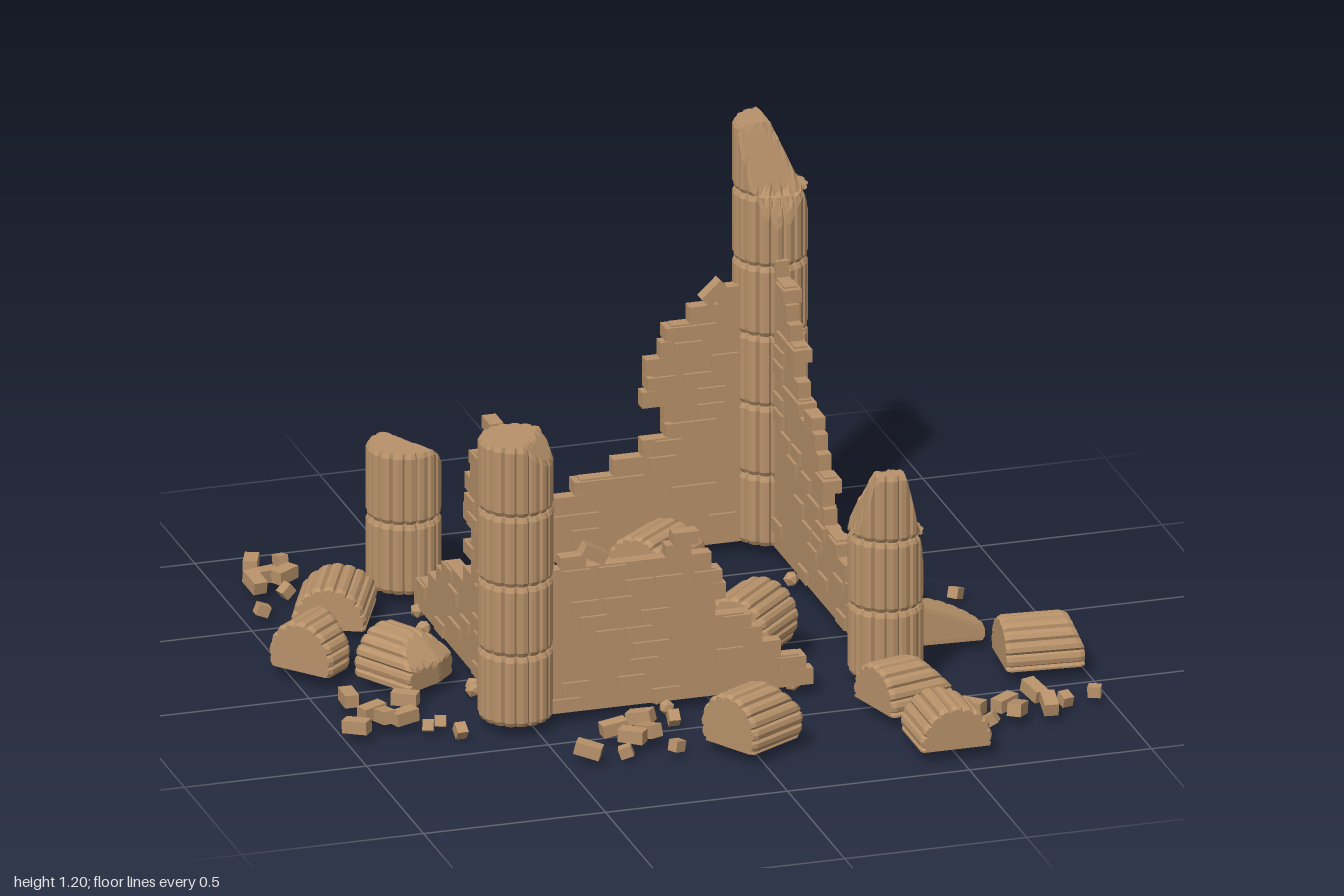
import * as THREE from 'three';

const stone = new THREE.MeshStandardMaterial({ color: 0xb8926a });
stone.name = 'sandstone';

const FLOOR = 0.03, ROW = 0.045, R = 0.1;

// small seeded generator
let seed = 11;
function rnd() {
  seed = (seed * 16807) % 2147483647;
  return seed / 2147483647;
}

function add(parent, geometry, name) {
  const mesh = new THREE.Mesh(geometry, stone);
  mesh.name = name;
  parent.add(mesh);
  return mesh;
}

// Fluted outline: petals separated by narrow grooves, optionally cut flat at x = cut
function outline(cut) {
  const pts = [], n = 17;
  for (let i = 0; i < n; i++) {
    for (const [f, k] of [[0, 0.9], [0.16, 0.975], [0.5, 1], [0.84, 0.975]]) {
      const a = ((i + f) / n) * Math.PI * 2;
      pts.push([Math.min(Math.cos(a) * R * k, cut), Math.sin(a) * R * k]);
    }
  }
  return pts;
}

// Fluted drum with bevelled ends; top(x, z) gives the broken upper surface
function drum(y0, top, cut = 1) {
  const pts = outline(cut), n = pts.length;
  const height = (x, z) => Math.max(top(x, z), y0 + 0.002);
  const rings = [
    [0, () => y0],
    [0.93, () => y0],
    [1, (x, z) => Math.min(y0 + 0.012, height(x, z))],
    [1, (x, z) => Math.max(height(x, z) - 0.012, y0)],
    ...[0.94, 0.75, 0.55, 0.35, 0.15, 0].map((s) => [s, height]),
  ];
  const pos = [], index = [];
  for (const [s, y] of rings) {
    for (const [x, z] of pts) pos.push(x * s, y(x * s, z * s), z * s);
  }
  for (let k = 0; k < rings.length - 1; k++) {
    for (let i = 0; i < n; i++) {
      const a = k * n + i, b = k * n + ((i + 1) % n);
      if (k > 0) index.push(a, a + n, b);
      if (k < rings.length - 2) index.push(b, a + n, b + n);
    }
  }
  // the centre fan of the bottom
  for (let i = 0; i < n; i++) index.push(i, n + i, n + ((i + 1) % n));
  const g = new THREE.BufferGeometry();
  g.setAttribute('position', new THREE.Float32BufferAttribute(pos, 3));
  g.setIndex(index);
  const flat = g.toNonIndexed();
  flat.computeVertexNormals();
  return flat;
}

// Column of stacked drums, all cut off by one broken surface
function column(parent, name, x, z, levels, broken) {
  const g = new THREE.Group();
  g.name = name;
  g.position.set(x, 0, z);
  for (let i = 0; i < levels; i++) {
    const y0 = FLOOR + i * 0.197;
    const limit = i === levels - 1 ? 9 : y0 + 0.194;
    add(g, drum(y0, (px, pz) => Math.min(limit, broken(px, pz))), 'columnDrum').rotation.y = 0;
  }
  parent.add(g);
}

// Wall with a stepped broken end; ends lists the length of each brick row
function wall(parent, name, x, z, turn, ends) {
  const g = new THREE.Group();
  g.name = name;
  g.position.set(x, 0, z);
  g.rotation.y = turn;
  const s = new THREE.Shape();
  s.moveTo(0, FLOOR);
  ends.forEach((e, i) => {
    s.lineTo(e, FLOOR + i * ROW);
    s.lineTo(e, FLOOR + (i + 1) * ROW);
  });
  s.lineTo(0, FLOOR + ends.length * ROW);
  const body = new THREE.ExtrudeGeometry(s, { depth: 0.036, bevelEnabled: false });
  body.translate(0, 0, -0.018);
  add(g, body, 'wallBody');
  // bricks standing proud of the face, some at the broken end
  ends.forEach((e, i) => {
    const y = FLOOR + (i + 0.5) * ROW;
    const spots = [];
    if (e > 0.25) spots.push(0.13 + rnd() * (e - 0.2));
    if (e > 0.5) spots.push(0.13 + rnd() * (e - 0.2));
    if (i % 3 === 1) spots.push(e - 0.02);
    for (const u of spots) {
      add(g, new THREE.BoxGeometry(0.075, 0.036, 0.052), 'raisedBrick').position.set(u, y, 0);
    }
  });
  parent.add(g);
}

function brick(parent, x, y, z, yaw, tilt, size = [0.07, 0.035, 0.038]) {
  const b = add(parent, new THREE.BoxGeometry(...size), 'looseBrick');
  b.position.set(x, y, z);
  b.rotation.set(0, yaw, tilt);
}

export function createModel() {
  const model = new THREE.Group();
  model.name = 'ruins';

  // four corner columns
  column(model, 'frontRightColumn', -0.54, 0.34, 4,
    (x, z) => Math.min(0.815, 0.815 - 0.9 * (x + z * 0.6 - 0.05)));
  column(model, 'backLeftColumn', 0.48, -0.68, 6,
    (x, z) => Math.min(1.2, 1.2 - 2.4 * (x + 0.005), 1.2 - 3.3 * (z - 0.02)));
  column(model, 'backRightColumn', -0.54, -0.64, 2,
    (x, z) => Math.min(0.425, 0.425 - 0.7 * (x - z * 0.5 - 0.02)));
  column(model, 'frontLeftColumn', 0.48, 0.33, 3,
    (x, z) => Math.min(0.61, 0.61 - 4 * (Math.abs(x + 0.01) - 0.04), 0.61 - 1.9 * (0.035 - z)));

  // four broken walls, each running out from a tall column
  wall(model, 'frontWall', -0.54, 0.35, 0,
    [0.81, 0.77, 0.72, 0.67, 0.62, 0.54, 0.57, 0.54, 0.53]);
  wall(model, 'rightWall', -0.54, 0.34, Math.PI / 2,
    [0.83, 0.78, 0.71, 0.64, 0.55, 0.4, 0.33, 0.36, 0.33, 0.4, 0.35, 0.39, 0.34, 0.31, 0.25, 0.18]);
  wall(model, 'backWall', 0.48, -0.67, Math.PI,
    [0.8, 0.74, 0.68, 0.6, 0.53, 0.44, 0.36, 0.28, 0.3, 0.36, 0.33, 0.35, 0.31, 0.28, 0.23, 0.15]);
  wall(model, 'leftWall', 0.48, -0.68, -Math.PI / 2,
    [0.84, 0.8, 0.76, 0.71, 0.64, 0.53, 0.51, 0.53, 0.48, 0.45, 0.31, 0.3, 0.26, 0.27, 0.23, 0.2, 0.18, 0.11]);

  // bricks left lying on the wall tops
  brick(model, -0.33, 0.465, 0.35, 0, -0.5);
  brick(model, -0.39, 0.45, 0.35, 0, 0);
  brick(model, -0.1, 0.45, 0.35, 0, 0);
  brick(model, -0.08, 0.482, 0.35, 0, 0);
  brick(model, 0.32, 0.735, -0.67, 0, 0.75);
  brick(model, -0.54, 0.77, 0.14, Math.PI / 2, 0);
  brick(model, 0.48, 0.5, -0.29, Math.PI / 2, 0);

  // fallen column pieces: x, z, yaw in degrees, length, depth of flat cut, slopes of the broken end
  const fallen = [
    [-0.78, -0.48, 65, 0.24, 0.02, 0.7, 0.7], [-0.92, -0.17, 40, 0.19, 0.04, 0.5, -0.8],
    [-0.73, -0.01, -60, 0.2, 0.03, 1.1, 0.3], [-0.39, -0.4, 25, 0.18, 0.02, 0.6, 0.9],
    [-0.36, -0.16, -50, 0.23, 0.03, 0.5, 0.8], [0.1, -0.46, 40, 0.2, 0.05, 0.3, 0.2],
    [0.17, 0.13, 45, 0.19, 0.095, 0, 0], [0.89, 0.36, -5, 0.21, 0.02, 0.4, 0.3],
    [0.46, 0.55, 15, 0.19, 0.02, 0.8, 0.9], [0.49, 0.83, 90, 0.19, 0.02, 0.2, -0.7],
    [0, 0.69, 30, 0.19, 0.05, 0.6, 0.7],
  ];
  for (const [x, z, yaw, len, cut, sx, sz] of fallen) {
    const top = (px, pz) => len + Math.min(0, sx * (px + 0.03)) + Math.min(0, sz * (pz + 0.02));
    const g = drum(0, top, cut);
    g.translate(0, -len / 2, 0);
    const m = add(model, g, 'fallenColumnPiece');
    m.position.set(x, FLOOR + cut, z);
    m.rotation.set(0, THREE.MathUtils.degToRad(yaw), -Math.PI / 2);
  }
  // split drum lying on its end
  const slab = add(model, drum(0, (x, z) => 0.08 + 0.4 * z, 0.01), 'splitDrum');
  slab.position.set(0.7, 0.025, 0.18);
  slab.rotation.y = 2.3 - Math.PI / 4 - Math.PI;

  // scattered bricks by group: x, z pairs in hundredths
  const scatter = [
    [-89, -86, -88, -77, -83, -76, -92, -73, -85, -68, -95, -57, -80, -89],
    [2, -88, 11, -86, 19, -89, 20, -84, 27, -90, 14, -79, 19, -78, 4, -80, 38, -82],
    [-26, -60, -18, -59, -7, -59, -21, -53, -10, -52, 4, -55, -25, -49],
    [61, -45, 62, -27, 65, -20, 70, -19, 62, -14, 82, -14, 72, -32, 69, -11],
    [-93, 12, -90, 23, -79, 17, -88, 27, -97, 32, -83, 29, -74, 32, -71, 40, -78, 34],
    [-45, 0, -48, 8, -36, 8, -43, 16, -39, 21, -45, 24, -32, 11],
    [-33, 53, -24, 48, -30, 60, -25, 58, -44, 66, -34, 67, -20, 67, -15, 48],
    [61, 67, 70, 67, 80, 61, 72, 72, 81, 71, 64, 74, 87, 66, 96, 63],
  ];
  for (const list of scatter) {
    for (let i = 0; i < list.length; i += 2) {
      const small = i >= list.length - 6;
      const size = small ? [0.035, 0.03, 0.03] : undefined;
      brick(model, list[i] / 100, small ? 0.028 : 0.042, list[i + 1] / 100,
        rnd() * Math.PI, (rnd() - 0.5) * (small ? 1.4 : 0.5), size);
    }
  }
  // chips of rubble at the feet of the walls
  for (let i = 0; i < 24; i++) {
    const t = rnd() * 0.7 - 0.35, side = i % 4, off = (rnd() - 0.5) * 0.1;
    const x = side < 2 ? t - 0.05 : (side === 2 ? -0.54 : 0.48) + off;
    const z = side < 2 ? (side === 0 ? 0.35 : -0.67) + off : t - 0.12;
    const chip = add(model, new THREE.IcosahedronGeometry(0.022, 0), 'rubbleChip');
    chip.position.set(x, 0.022, z);
    chip.rotation.set(rnd() * 3, rnd() * 3, 0);
  }
  return model;
}
